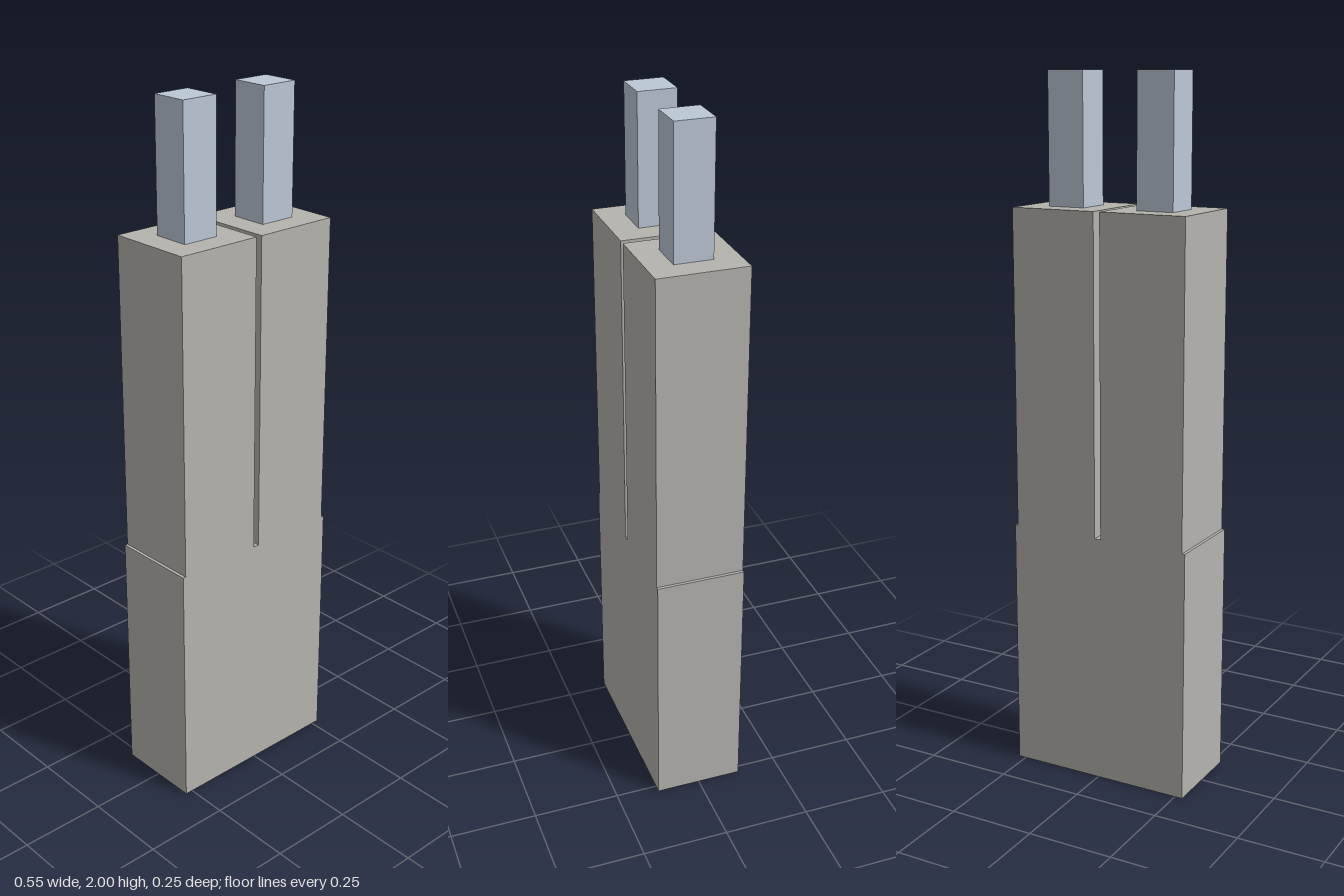
import * as THREE from 'three';

export function createModel() {
  const group = new THREE.Group();
  const stone = new THREE.MeshStandardMaterial({ color: 0xb5b3ae });
  const glass = new THREE.MeshStandardMaterial({ color: 0xbcc8d6 });

  // box given by its size, centre x and the height of its underside
  const block = (name, material, width, height, depth, x, bottom) => {
    const mesh = new THREE.Mesh(new THREE.BoxGeometry(width, height, depth), material);
    mesh.name = name;
    mesh.position.set(x, bottom + height / 2, 0);
    group.add(mesh);
  };

  const depth = 0.255, baseTop = 0.727, towerTop = 1.636;

  // shared lower block
  block('base', stone, 0.545, baseTop, depth, 0, 0);

  // twin towers with a narrow gap, each carrying a slim square top
  for (const [side, sign] of [['left', 1], ['right', -1]]) {
    const x = sign * 0.1364;
    block(side + 'Tower', stone, 0.2545, towerTop - baseTop, depth, x, baseTop);
    block(side + 'Spire', glass, 0.109, 2 - towerTop, 0.109, x, towerTop);
  }
  return group;
}
